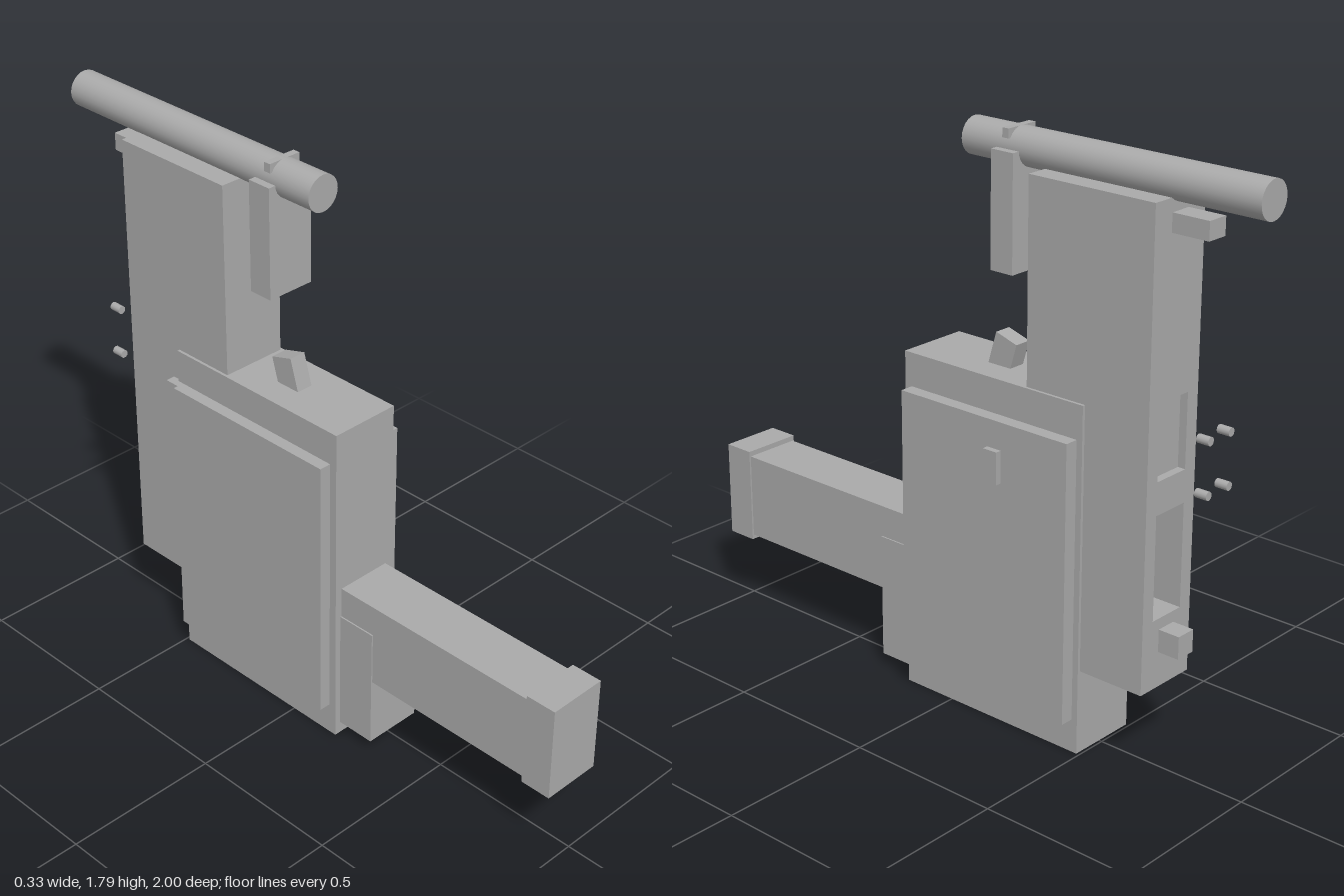
import * as THREE from 'three';

const CX = -0.012; // centre plane of the model

export function createModel() {
  const model = new THREE.Group();
  model.name = 'model';
  const grey = new THREE.MeshStandardMaterial({ color: 0xaaaaaa });
  grey.name = 'grey';

  const add = (name, geometry) => {
    const mesh = new THREE.Mesh(geometry, grey);
    mesh.name = name;
    model.add(mesh);
    return mesh;
  };
  // Box given by its limits on each axis
  const box = (name, x0, x1, y0, y1, z0, z1) => {
    const mesh = add(name, new THREE.BoxGeometry(x1 - x0, y1 - y0, z1 - z0));
    mesh.position.set((x0 + x1) / 2, (y0 + y1) / 2, (z0 + z1) / 2);
    return mesh;
  };
  // Box of a given width on the centre plane
  const mid = (name, w, y0, y1, z0, z1) => box(name, CX - w / 2, CX + w / 2, y0, y1, z0, z1);
  // Rod along z
  const rod = (name, r, x, y, z0, z1, sides) => {
    const g = new THREE.CylinderGeometry(r, r, z1 - z0, sides).rotateX(Math.PI / 2);
    add(name, g).position.set(x, y, (z0 + z1) / 2);
  };

  // Main body and side panels
  mid('body', 0.232, 0, 1.08, -0.49, 0.18);
  box('leftPanel', 0.1, 0.147, 0.105, 0.975, -0.47, 0.155);
  box('rightPanel', -0.166, -0.12, 0.105, 0.975, -0.47, 0.155);
  box('leftButton', 0.14, 0.166, 0.79, 0.89, -0.23, -0.18);
  box('rightLatch', -0.15, -0.12, 0.84, 0.975, -0.52, -0.46);

  // Front arm, its end cap and the block below
  mid('frontArm', 0.184, 0.265, 0.54, 0.15, 0.91);
  mid('armCap', 0.195, 0.25, 0.557, 0.9, 1);
  mid('armBlock', 0.193, 0.04, 0.44, 0.17, 0.31);

  // Rear column: solid front part, then slices with openings in the back
  const X0 = -0.119, X1 = 0.095, Y0 = 0.265, Y1 = 1.69;
  const rect = (P, x0, x1, y0, y1) => {
    const p = new P();
    p.moveTo(x0, y0).lineTo(x1, y0).lineTo(x1, y1).lineTo(x0, y1).closePath();
    return p;
  };
  const slice = (name, z0, z1, openings) => {
    const shape = rect(THREE.Shape, X0, X1, Y0, Y1);
    for (const [a, b] of openings) shape.holes.push(rect(THREE.Path, -0.074, 0.05, a, b));
    const g = new THREE.ExtrudeGeometry(shape, { depth: z1 - z0, bevelEnabled: false });
    add(name, g).position.z = z0;
  };
  const deep = [0.48, 0.8], shallow = [0.9, 1.127];
  box('columnFront', X0, X1, Y0, Y1, -0.48, -0.28);
  slice('columnMiddle', -0.685, -0.48, [deep]);
  slice('columnBack', -0.71, -0.685, [deep, shallow]);

  // Pegs on the back of the column
  mid('upperPeg', 0.07, 1.595, 1.65, -0.83, -0.7);
  mid('lowerPeg', 0.066, 0.375, 0.445, -0.78, -0.7);

  // Four free pins behind the column
  for (const x of [CX - 0.046, CX + 0.046])
    for (const y of [0.9, 1.057]) rod('pin', 0.013, x, y, -0.87, -0.83, 12);

  // Top tube, hanging block and cross plate
  rod('topTube', 0.056, CX, 1.73, -1, 0.01, 24);
  mid('hangingBlock', 0.16, 1.38, 1.727, -0.2, -0.12);
  mid('crossPlate', 0.112, 1.757, 1.785, -0.163, -0.14);

  // Tilted lever on top of the body
  const lever = add('lever', new THREE.BoxGeometry(0.055, 0.16, 0.08));
  lever.position.set(CX, 1.091, -0.111);
  lever.rotation.x = -0.29;

  return model;
}
